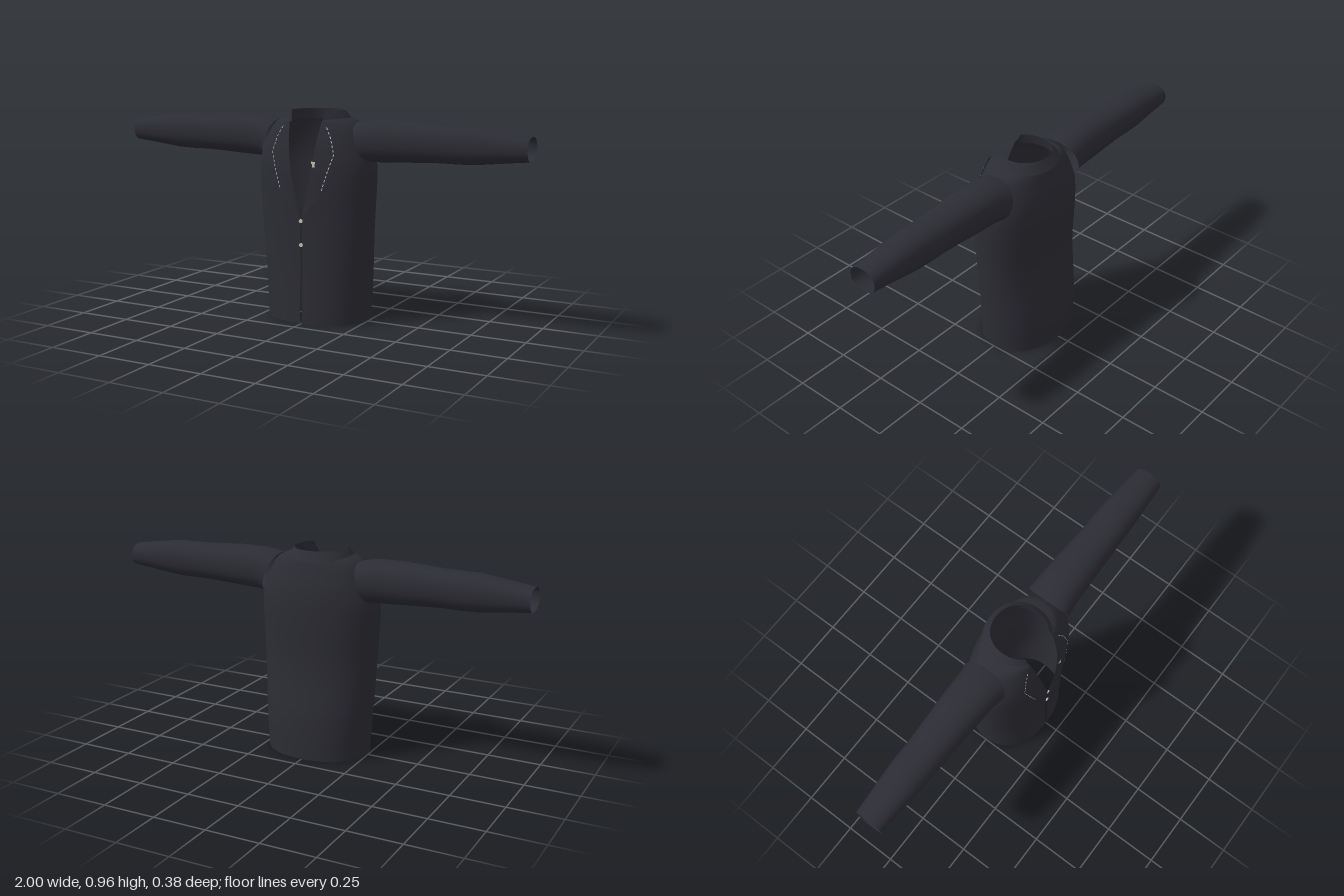
import * as THREE from 'three';
import { mergeGeometries } from 'three/addons/utils/BufferGeometryUtils.js';

const fabric = new THREE.MeshStandardMaterial({ color: 0x2c2c34, side: THREE.DoubleSide });
fabric.name = 'charcoal fabric';
const thread = new THREE.MeshStandardMaterial({ color: 0xc4c0b6, side: THREE.DoubleSide });
thread.name = 'pale thread';

// Body sections: height, half width, front z, back z, half width of the front opening
const BODY = [
  [0, 0.245, 0.187, -0.19, 0.005], [0.1, 0.252, 0.184, -0.19, 0.005],
  [0.19, 0.257, 0.181, -0.187, 0.005], [0.25, 0.261, 0.18, -0.178, 0.005],
  [0.32, 0.266, 0.18, -0.168, 0.005], [0.38, 0.269, 0.18, -0.16, 0.005],
  [0.45, 0.273, 0.181, -0.156, 0.005], [0.5, 0.276, 0.182, -0.156, 0.006],
  [0.56, 0.279, 0.185, -0.158, 0.021], [0.63, 0.283, 0.187, -0.16, 0.037],
  [0.7, 0.284, 0.187, -0.16, 0.05], [0.75, 0.28, 0.183, -0.157, 0.058],
  [0.8, 0.262, 0.177, -0.152, 0.066], [0.84, 0.246, 0.169, -0.142, 0.071],
  [0.88, 0.226, 0.157, -0.13, 0.076], [0.91, 0.202, 0.147, -0.121, 0.08],
  [0.924, 0.175, 0.145, -0.114, 0.082], [0.934, 0.135, 0.142, -0.108, 0.084],
];
// Lapel outer edge: height, x
const LAPEL = [[0.5, 0.008], [0.56, 0.062], [0.62, 0.105], [0.7, 0.13], [0.78, 0.155], [0.85, 0.135], [0.915, 0.1]];
const P = 0.92; // squareness of the body section

// Linear lookup in a table sorted by its first column
function sample(table, y) {
  let i = 0;
  while (i < table.length - 2 && y > table[i + 1][0]) i++;
  const a = table[i], b = table[i + 1];
  const t = THREE.MathUtils.clamp((y - a[0]) / (b[0] - a[0]), 0, 1);
  return a.map((v, k) => v + (b[k] - v) * t);
}

// Surface through a grid of points
function loft(rows, cols, point, wrap = false) {
  const pos = [], idx = [];
  for (let i = 0; i < rows; i++) for (let j = 0; j < cols; j++) pos.push(...point(i, j));
  for (let i = 0; i < rows - 1; i++) for (let j = 0; j < (wrap ? cols : cols - 1); j++) {
    const k = (j + 1) % cols;
    const a = i * cols + j, b = i * cols + k, c = b + cols, d = a + cols;
    idx.push(a, b, c, a, c, d);
  }
  const geo = new THREE.BufferGeometry();
  geo.setAttribute('position', new THREE.Float32BufferAttribute(pos, 3));
  geo.setIndex(idx);
  geo.computeVertexNormals();
  return geo;
}

// Wrap-around cloth, open at the front
function wrapCloth(sections, cols) {
  const pw = (v) => Math.sign(v) * Math.abs(v) ** P;
  return loft(sections.length, cols, (i, j) => {
    const [y, w, zf, zb, gap] = sections[i];
    const start = Math.asin((gap / w) ** (1 / P));
    const a = start + (2 * Math.PI - 2 * start) * j / (cols - 1);
    return [w * pw(Math.sin(a)), y, (zf + zb) / 2 + (zf - zb) / 2 * pw(Math.cos(a))];
  });
}

// Depth of the body front at x, y
function frontZ(x, y) {
  const [, w, zf, zb] = sample(BODY, y);
  const s = Math.min(1, (Math.abs(x) / w) ** (1 / P));
  return (zf + zb) / 2 + (zf - zb) / 2 * Math.sqrt(1 - s * s) ** P;
}

// Thin piece lying on the body front between two edges
function frontPatch(y0, y1, rows, cols, inner, outer, lift) {
  return loft(rows, cols, (i, j) => {
    const y = y0 + (y1 - y0) * i / (rows - 1), t = j / (cols - 1);
    const x = inner(y) + (outer(y) - inner(y)) * t;
    return [x, y, frontZ(x, y) + lift(t)];
  });
}

export function createModel() {
  const group = new THREE.Group();
  const add = (name, geo, mat) => {
    const mesh = new THREE.Mesh(geo, mat);
    mesh.name = name;
    group.add(mesh);
    return mesh;
  };

  add('jacketBody', wrapCloth(BODY, 65), fabric);

  // Folded collar: outer fall, then inner stand
  add('collarFall', wrapCloth([
    [0.918, 0.152, 0.148, -0.137, 0.088], [0.932, 0.146, 0.147, -0.126, 0.086], [0.962, 0.12, 0.14, -0.105, 0.084],
  ], 49), fabric);
  add('collarStand', wrapCloth([
    [0.915, 0.128, 0.142, -0.108, 0.08], [0.962, 0.12, 0.14, -0.105, 0.084],
  ], 49), fabric);

  // Sleeve sections: x, bottom y, top y, back z, front z
  const SLEEVE = [
    [0.2, 0.738, 0.915, -0.108, 0.112], [0.24, 0.738, 0.924, -0.102, 0.107],
    [0.3, 0.74, 0.932, -0.099, 0.102], [0.4, 0.744, 0.933, -0.096, 0.098],
    [0.5, 0.749, 0.928, -0.09, 0.093], [0.6, 0.753, 0.921, -0.085, 0.089],
    [0.68, 0.752, 0.92, -0.084, 0.086], [0.76, 0.754, 0.92, -0.083, 0.084],
    [0.84, 0.763, 0.909, -0.077, 0.079], [0.92, 0.772, 0.898, -0.071, 0.073],
    [1, 0.78, 0.886, -0.066, 0.068],
  ];
  const stitchLength = 0.011;
  for (const side of [1, -1]) {
    const name = side > 0 ? 'left' : 'right';
    add(name + 'Sleeve', loft(SLEEVE.length, 32, (i, j) => {
      const [x, yb, yt, zb, zf] = SLEEVE[i];
      const a = j / 32 * Math.PI * 2, c = Math.cos(a), s = Math.sin(a);
      const slant = i === 0 ? 0.032 * (1 - s) : i === 1 ? 0.018 * (1 - s) : 0; // armhole leans out at the armpit
      const round = (v) => Math.sign(v) * Math.abs(v) ** 0.88;
      return [side * (x + slant), (yb + yt) / 2 + (yt - yb) / 2 * round(s), (zb + zf) / 2 + (zf - zb) / 2 * round(c)];
    }, true), fabric);

    // Lapel rising slightly towards its outer edge
    const edge = (y) => side * sample(LAPEL, y)[1];
    add(name + 'Lapel', frontPatch(0.5, 0.915, 30, 8,
      (y) => side * sample(BODY, y)[4], edge, (t) => 0.002 + 0.005 * t), fabric);

    // Stitching along the lapel edge
    const stitches = [];
    for (let y = 0.62; y < 0.905; y += 0.019) {
      stitches.push(frontPatch(y, y + stitchLength, 2, 2,
        (v) => edge(v) - 0.002, (v) => edge(v) + 0.002, () => 0.009));
    }
    add(name + 'LapelStitching', mergeGeometries(stitches), thread);
  }

  // Small pin on the left lapel
  add('lapelPin', mergeGeometries([
    frontPatch(0.738, 0.748, 2, 2, () => 0.056, () => 0.076, () => 0.01),
    frontPatch(0.722, 0.738, 2, 2, () => 0.062, () => 0.074, () => 0.01),
  ]), thread);

  // Front buttons
  for (const y of [0.475, 0.365]) {
    const button = add('button', new THREE.CylinderGeometry(0.009, 0.009, 0.006, 16), thread);
    button.rotation.x = Math.PI / 2;
    button.position.set(0, y, frontZ(0, y) + 0.002);
  }

  // Pocket bag inside the right front
  add('innerPocket', frontPatch(0.1, 0.24, 4, 4, () => -0.15, () => -0.08, () => -0.008), fabric);
  return group;
}
